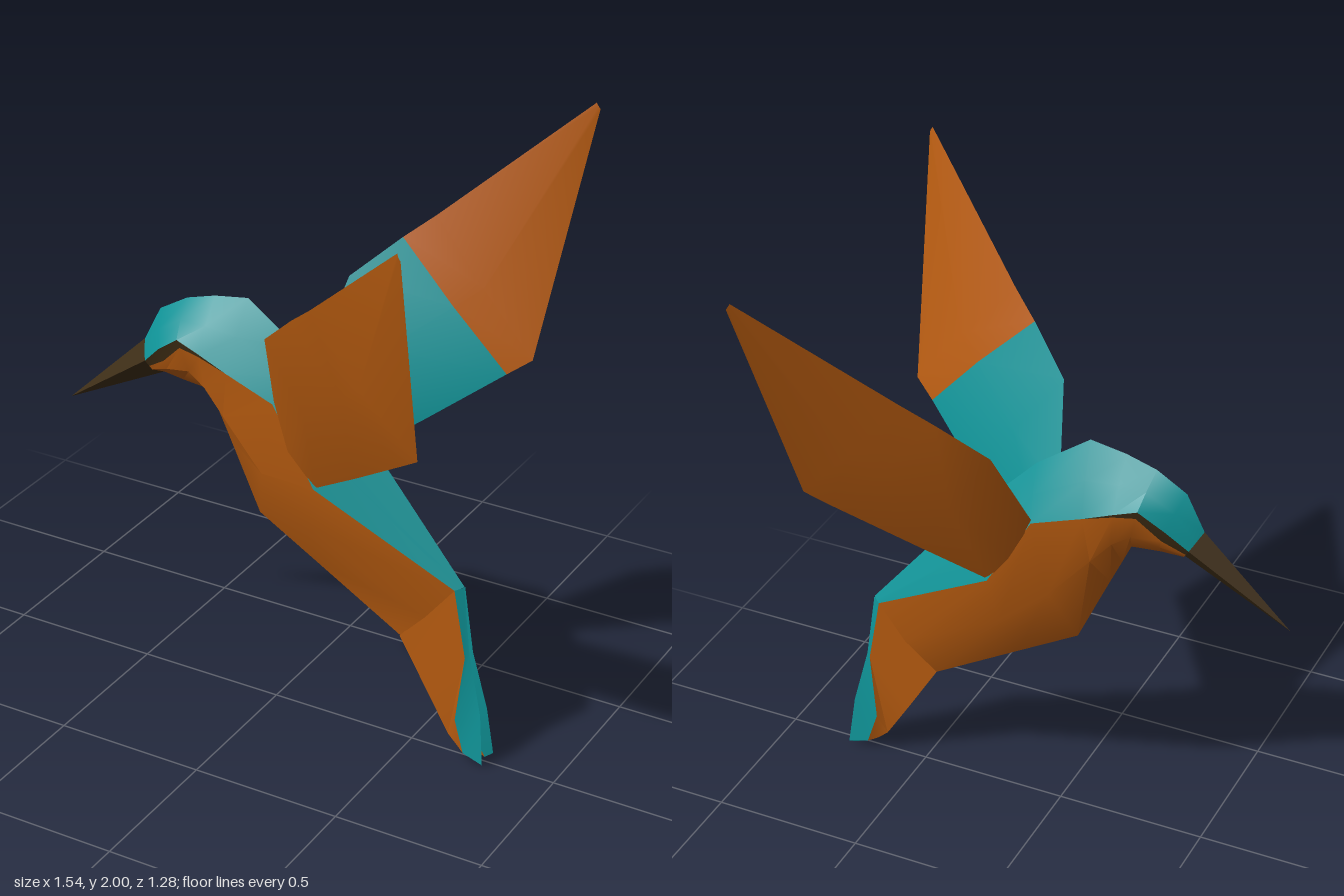
import * as THREE from 'three';
import { toCreasedNormals } from 'three/addons/utils/BufferGeometryUtils.js';

const material = (name, color) => {
  const m = new THREE.MeshStandardMaterial({ color });
  m.name = name;
  return m;
};
const V = (x, y, z = 0) => new THREE.Vector3(x, y, z);
const mix = (a, b, t) => a.clone().lerp(b, t);

// Skin between successive rows of points; flip turns the faces over
function loft(rows, flip = false) {
  const pos = [];
  const tri = (a, b, c) => {
    const area = b.clone().sub(a).cross(c.clone().sub(a)).length();
    if (area < 1e-6) return;
    for (const p of flip ? [a, c, b] : [a, b, c]) pos.push(p.x, p.y, p.z);
  };
  for (let i = 0; i < rows.length - 1; i++) {
    for (let j = 0; j < rows[i].length - 1; j++) {
      const a = rows[i][j], b = rows[i + 1][j], c = rows[i + 1][j + 1], d = rows[i][j + 1];
      tri(a, b, c);
      tri(a, c, d);
    }
  }
  const g = new THREE.BufferGeometry();
  g.setAttribute('position', new THREE.Float32BufferAttribute(pos, 3));
  return toCreasedNormals(g, 0.6);
}

export function createModel() {
  const teal = material('teal', 0x0f9498);
  const orange = material('orange', 0xb85c10);
  const dark = material('darkBrown', 0x3d2c14);

  const bird = new THREE.Group();
  bird.name = 'bird';
  const add = (parent, name, mat, rows, flip) => {
    const mesh = new THREE.Mesh(loft(rows, flip), mat);
    mesh.name = name;
    parent.add(mesh);
  };
  const mirror = (p) => V(p.x, p.y, -p.z);

  // Body stations: ridge, flank, lower flank, keel, depth of the eye stripe
  const stations = [
    [V(-0.48, 1.18), V(-0.45, 1.13, 0.05), V(-0.43, 1.10, 0.04), V(-0.41, 1.08), 0.6],
    [V(-0.42, 1.30), V(-0.38, 1.20, 0.08), V(-0.36, 1.13, 0.065), V(-0.34, 1.07), 0.6],
    [V(-0.32, 1.36), V(-0.30, 1.26, 0.10), V(-0.27, 1.15, 0.08), V(-0.24, 1.06), 0.25],
    [V(-0.22, 1.39), V(-0.22, 1.23, 0.102), V(-0.21, 1.11, 0.085), V(-0.21, 0.995), 0.08],
    [V(-0.10, 1.41), V(-0.12, 1.19, 0.105), V(-0.14, 1.03, 0.09), V(-0.17, 0.91), 0],
    [V(0.08, 1.28), V(0.05, 1.13, 0.11), V(0.0, 0.87, 0.095), V(-0.06, 0.67), 0],
    [V(0.36, 0.99), V(0.20, 0.88, 0.12), V(0.17, 0.72, 0.095), V(0.15, 0.547), 0],
    [V(0.67, 0.61), V(0.645, 0.60, 0.02), V(0.55, 0.48, 0.025), V(0.45, 0.37), 0],
  ];
  const back = [], belly = [], stripeL = [], stripeR = [];
  for (const [T, S, M, B, e] of stations) {
    const U = mix(S, T, 0.5);
    U.z = S.z * 0.58;
    const E = mix(S, M, e);
    back.push([S, U, T, mirror(U), mirror(S)]);
    belly.push([mirror(E), mirror(M), B, M, E]);
    stripeL.push([E, S]);
    stripeR.push([mirror(S), mirror(E)]);
  }
  add(bird, 'back', teal, back);
  add(bird, 'belly', orange, belly);
  add(bird, 'leftEyeStripe', dark, stripeL.slice(0, 5));
  add(bird, 'rightEyeStripe', dark, stripeR.slice(0, 5));

  // Beak tapers from the front body station to a point
  const [bT, bS, , bB] = stations[0];
  const base = [bS, bT, mirror(bS), bB, bS];
  add(bird, 'beak', dark, [base.map(() => V(-0.77, 0.9)), base]);

  // Wing stations: leading edge, trailing edge, half thickness
  const wing = [
    [V(0.05, 1.13, 0.10), V(0.20, 0.88, 0.11), 0.03],
    [V(0.11, 1.43, 0.26), V(0.40, 1.02, 0.22), 0.03],
    [V(0.25, 1.56, 0.345), V(0.62, 1.18, 0.345), 0.025],
    [V(0.34, 1.635, 0.395), V(0.69, 1.23, 0.38), 0.022],
    [V(0.745, 2.0, 0.637), V(0.757, 1.98, 0.64), 0.002],
  ];
  const inward = V(0.28, 0.28, -0.92);

  // Tail stations: rear edge, colour border, front edge, inner face
  const tail = [
    [V(0.67, 0.61, 0.003), V(0.645, 0.60, 0.02), V(0.45, 0.37, 0.004), V(0.56, 0.49, 0)],
    [V(0.70, 0.38, 0.012), V(0.688, 0.37, 0.02), V(0.56, 0.19, 0.008), V(0.62, 0.28, 0.002)],
    [V(0.75, 0.18, 0.024), V(0.665, 0.14, 0.03), V(0.635, 0.07, 0.014), V(0.69, 0.13, 0.008)],
    [V(0.77, 0.01, 0.04), V(0.70, 0.03, 0.036), V(0.67, 0.04, 0.018), V(0.75, 0.0, 0.02)],
  ];

  for (const side of [1, -1]) {
    const label = side > 0 ? 'left' : 'right';
    const put = (p) => (side > 0 ? p : mirror(p));
    const flip = side < 0;

    const wingGroup = new THREE.Group();
    wingGroup.name = label + 'Wing';
    bird.add(wingGroup);
    const inner = [], outer = [];
    for (const [L, R, t] of wing) {
      const mid = mix(L, R, 0.5);
      inner.push([L, mid.clone().addScaledVector(inward, t), R].map(put));
      outer.push([R, mid.clone().addScaledVector(inward, -t), L].map(put));
    }
    add(wingGroup, 'wingUpperRoot', teal, inner.slice(0, 3), flip);
    add(wingGroup, 'wingUpperTip', orange, inner.slice(2), flip);
    add(wingGroup, 'wingUnderside', orange, outer, flip);

    const tailGroup = new THREE.Group();
    tailGroup.name = label + 'TailFeather';
    bird.add(tailGroup);
    add(tailGroup, 'tailRear', teal, tail.map(([t, s, , i]) => [i, t, s].map(put)), !flip);
    add(tailGroup, 'tailFront', orange, tail.map(([, s, l, i]) => [s, l, i].map(put)), !flip);
    const [t, s, l, i] = tail[3].map(put);
    add(tailGroup, 'tailTip', teal, [[t, i], [s, l]], flip);
  }
  return bird;
}
